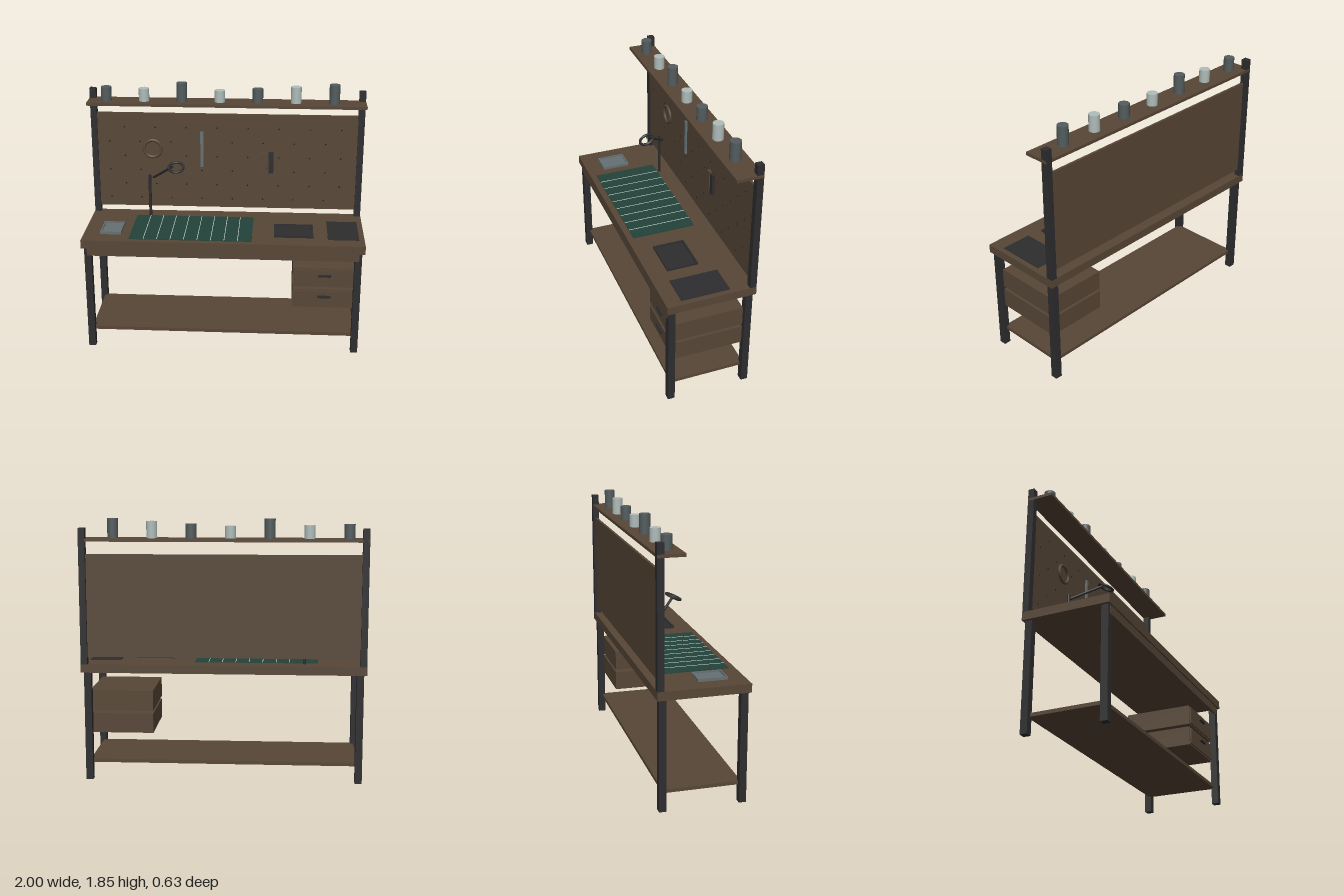
import * as THREE from 'three';

const mat = (name, color, side = THREE.FrontSide) => {
  const m = new THREE.MeshStandardMaterial({ color, side });
  m.name = name;
  return m;
};

export function createModel() {
  const wood = mat('brown wood', 0x574636);
  const steel = mat('dark steel', 0x2d2d2f);
  const green = mat('cutting mat green', 0x234339);
  const white = mat('mat line white', 0xd4dcd8);
  const grey = mat('slate grey', 0x667073);
  const pale = mat('pale grey', 0xafbdba);
  const dark = mat('dark slate', 0x535c5e);
  const black = mat('hole black', 0x1e1a17);

  const bench = new THREE.Group();
  bench.name = 'workbench';

  const add = (name, geometry, material, x = 0, y = 0, z = 0, parent = bench) => {
    const m = new THREE.Mesh(geometry, material);
    m.name = name;
    m.position.set(x, y, z);
    parent.add(m);
    return m;
  };
  // Box given by its lower and upper limits on each axis
  const box = (name, material, x0, x1, y0, y1, z0, z1, parent = bench) =>
    add(name, new THREE.BoxGeometry(x1 - x0, y1 - y0, z1 - z0), material,
      (x0 + x1) / 2, (y0 + y1) / 2, (z0 + z1) / 2, parent);
  // Rod between two points
  const rod = (name, material, a, b, r) => {
    const p = new THREE.Vector3(...a), q = new THREE.Vector3(...b);
    const m = add(name, new THREE.CylinderGeometry(r, r, p.distanceTo(q), 10), material);
    m.position.copy(p).lerp(q, 0.5);
    m.quaternion.setFromUnitVectors(new THREE.Vector3(0, 1, 0), q.sub(p).normalize());
    return m;
  };
  // Shallow tray: a floor with four raised rims
  const tray = (name, floorMat, rimMat, x0, x1, z0, z1, h, w) => {
    const g = new THREE.Group();
    g.name = name;
    bench.add(g);
    const y = 0.84;
    box('trayFloor', floorMat, x0, x1, y, y + h * 0.5, z0, z1, g);
    box('trayRim', rimMat, x0, x1, y, y + h, z0, z0 + w, g);
    box('trayRim', rimMat, x0, x1, y, y + h, z1 - w, z1, g);
    box('trayRim', rimMat, x0, x0 + w, y, y + h, z0 + w, z1 - w, g);
    box('trayRim', rimMat, x1 - w, x1, y, y + h, z0 + w, z1 - w, g);
  };

  // Bench frame
  box('tableTop', wood, -1, 1, 0.78, 0.84, -0.315, 0.315);
  box('frontApron', wood, -0.96, 0.96, 0.72, 0.78, 0.285, 0.304);
  box('lowerShelf', wood, -0.95, 0.95, 0.12, 0.145, -0.27, 0.27);
  for (const s of [-1, 1]) {
    for (const z of [-0.275, 0.275]) {
      add('leg', new THREE.BoxGeometry(0.05, 0.78, 0.05), steel, s * 0.955, 0.39, z);
    }
    add('backPost', new THREE.BoxGeometry(0.046, 0.95, 0.046), steel, s * 0.975, 1.315, -0.292);
  }

  // Drawers with inset fronts and bar handles
  for (const [y0, y1] of [[0.335, 0.475], [0.495, 0.64]]) {
    const g = new THREE.Group();
    g.name = 'drawer';
    bench.add(g);
    const yc = (y0 + y1) / 2 + 0.02;
    box('drawerBody', wood, 0.5, 0.95, y0, y1, -0.25, 0.25, g);
    box('drawerFront', wood, 0.512, 0.938, y0 + 0.01, y1 - 0.01, 0.25, 0.26, g);
    box('drawerHandle', steel, 0.678, 0.772, yc - 0.007, yc + 0.007, 0.26, 0.275, g);
  }

  // Pegboard with staggered holes
  box('pegboard', wood, -0.953, 0.953, 0.89, 1.61, -0.295, -0.278);
  const hole = new THREE.CircleGeometry(0.006, 8);
  for (let row = 0; row < 6; row++) {
    for (let i = 0; i < 8; i++) {
      const x = -0.867 + i * 0.227 + (row % 2 ? 0 : 0.1135);
      add('pegHole', hole, black, x, 1.502 - row * 0.109, -0.277);
    }
  }

  // Hanging tools
  add('hangingRing', new THREE.TorusGeometry(0.064, 0.011, 8, 28), wood, -0.547, 1.342, -0.267);
  box('steelRule', grey, -0.195, -0.171, 1.208, 1.475, -0.278, -0.265);
  box('woodBlock', wood, 0.253, 0.292, 1.168, 1.328, -0.278, -0.258);
  box('steelBlock', steel, 0.308, 0.344, 1.168, 1.328, -0.278, -0.258);

  // Top shelf and jars
  box('topShelf', wood, -1, 1, 1.697, 1.718, -0.315, -0.13);
  [0.1, 0.092, 0.136, 0.085, 0.1, 0.117, 0.136].forEach((h, i) => {
    add('jar', new THREE.CylinderGeometry(0.038, 0.038, h, 16), i % 2 ? pale : dark,
      -0.866 + i * 0.2728, 1.718 + h / 2, -0.22);
  });

  // Cutting mat with ruled lines
  box('cuttingMat', green, -0.665, 0.205, 0.84, 0.845, -0.19, 0.27);
  for (let i = 0; i < 8; i++) {
    const x = -0.561 + i * 0.0953;
    box('matLine', white, x - 0.002, x + 0.002, 0.845, 0.847, -0.19, 0.27);
  }

  // Things on the bench
  tray('partsTray', grey, grey, -0.88, -0.73, -0.012, 0.19, 0.02, 0.01);
  tray('darkTray', steel, steel, 0.36, 0.64, -0.045, 0.18, 0.015, 0.012);
  box('darkPad', steel, 0.742, 0.962, 0.84, 0.844, -0.14, 0.205);

  // Magnifier lamp
  rod('lampPost', steel, [-0.567, 0.84, -0.21], [-0.567, 1.158, -0.21], 0.011);
  rod('lampArm', steel, [-0.54, 1.134, -0.225], [-0.375, 1.282, -0.042], 0.009);
  const ring = add('lampRing', new THREE.TorusGeometry(0.052, 0.01, 8, 28), steel, -0.35, 1.28, -0.03);
  ring.rotation.x = -1.13;

  return bench;
}
